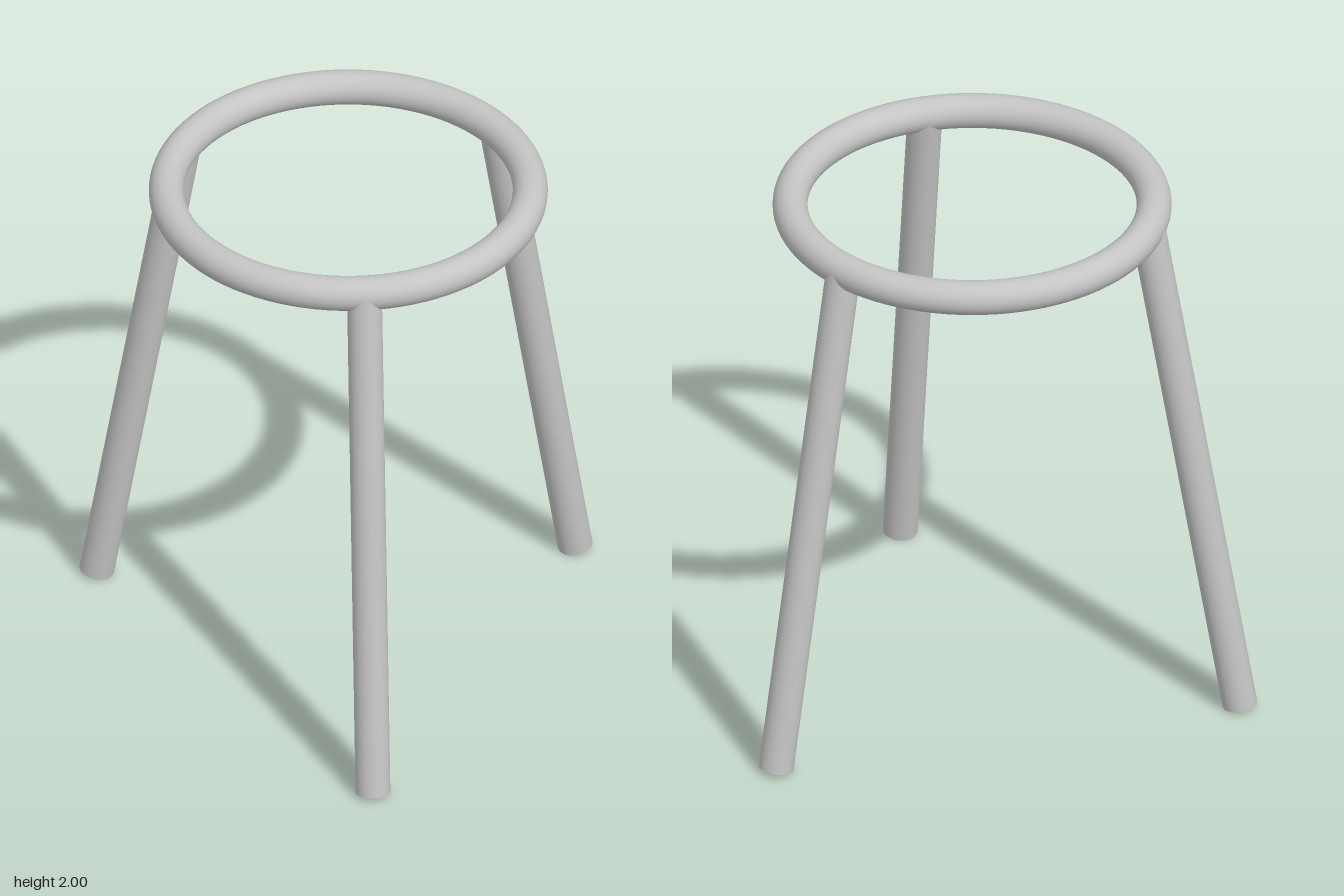
import * as THREE from 'three';

const TUBE = 0.0625;      // radius of ring tube and legs
const RING = 0.65;        // radius of the ring's centre line
const RING_Y = 2 - TUBE;
const CENTRE_Z = -0.174;
const SPLAY = THREE.MathUtils.degToRad(10);

export function createModel() {
  const model = new THREE.Group();
  model.name = 'stoolFrame';
  const metal = new THREE.MeshStandardMaterial({ color: 0xc4c4c4 });
  metal.name = 'light grey metal';

  // Seat ring
  const ring = new THREE.Mesh(new THREE.TorusGeometry(RING, TUBE, 32, 96), metal);
  ring.name = 'seatRing';
  ring.rotation.x = -Math.PI / 2;
  ring.position.set(0, RING_Y, CENTRE_Z);
  model.add(ring);

  // Splayed legs: start at the ring's centre line, cut square at the foot
  const length = (RING_Y - TUBE * Math.sin(SPLAY)) / Math.cos(SPLAY);
  const legGeometry = new THREE.CylinderGeometry(TUBE, TUBE, length, 40);
  legGeometry.translate(0, -length / 2, 0);
  legGeometry.rotateX(-SPLAY);
  legGeometry.translate(0, 0, RING);

  ['frontLeg', 'backLeftLeg', 'backRightLeg'].forEach((name, i) => {
    const leg = new THREE.Mesh(legGeometry, metal);
    leg.name = name;
    leg.position.set(0, RING_Y, CENTRE_Z);
    leg.rotation.y = (i * Math.PI * 2) / 3;
    model.add(leg);
  });

  return model;
}
